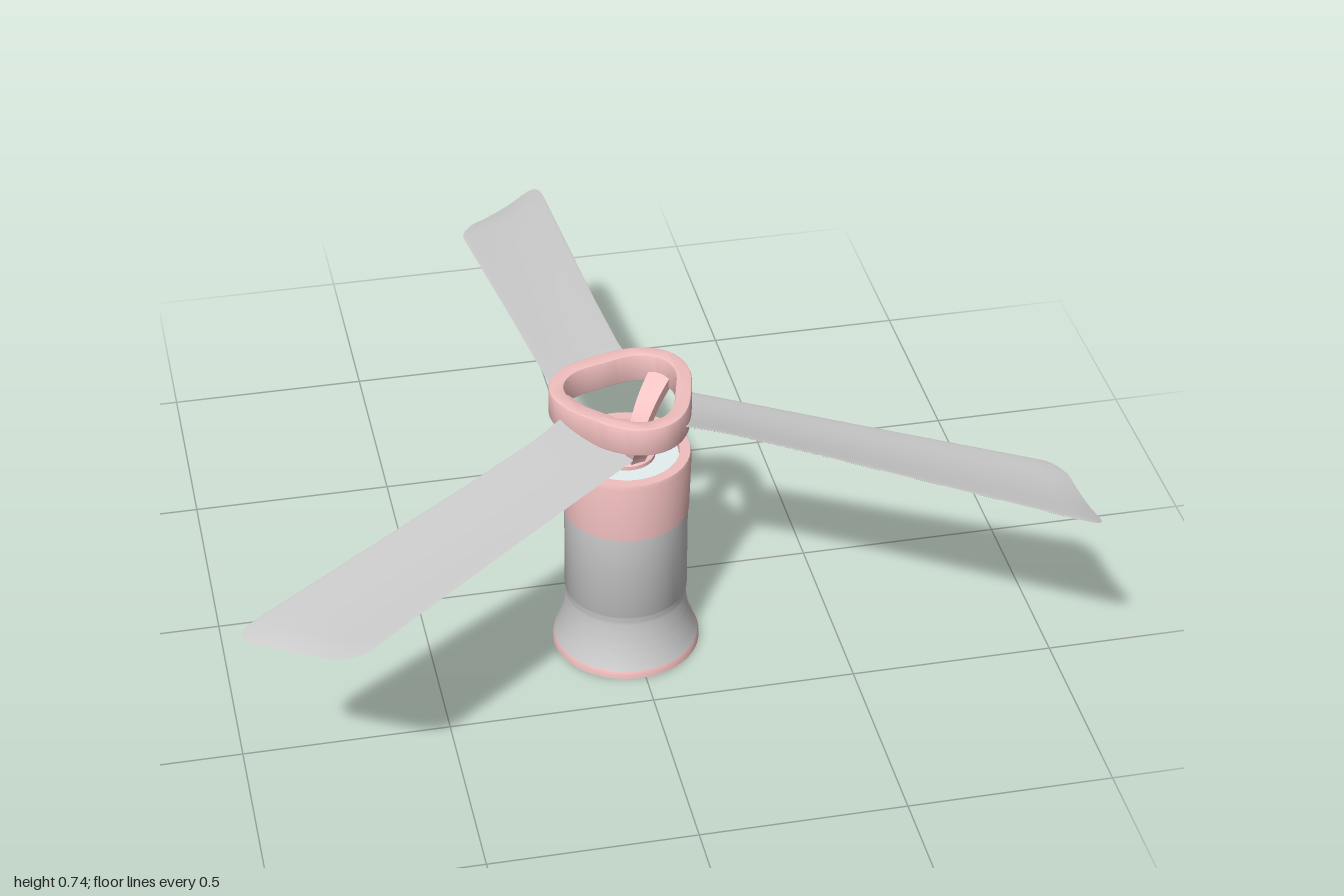
import * as THREE from 'three';
import { toCreasedNormals } from 'three/addons/utils/BufferGeometryUtils.js';

const { lerp } = THREE.MathUtils;
const grey = new THREE.MeshStandardMaterial({ color: 0xcccccc });
const pink = new THREE.MeshStandardMaterial({ color: 0xf2bfbf });
const pale = new THREE.MeshStandardMaterial({ color: 0xe6f0f0 });
const bladeGrey = new THREE.MeshStandardMaterial({ color: 0xcccccc, side: THREE.DoubleSide });

function add(parent, name, geometry, material) {
  const mesh = new THREE.Mesh(geometry, material);
  mesh.name = name;
  parent.add(mesh);
  return mesh;
}

const lathe = (points) => toCreasedNormals(
  new THREE.LatheGeometry(points.map(([r, y]) => new THREE.Vector2(r, y)), 64), 0.6);

// Radius of the flared foot at a given height
const flare = (y) => 0.147 + 0.03 * Math.pow(Math.max(0, (0.16 - y) / 0.14), 2);

// Piecewise linear lookup in [x, y] pairs
function lookup(table, x) {
  let i = 0;
  while (i < table.length - 2 && x > table[i + 1][0]) i++;
  const [x0, y0] = table[i], [x1, y1] = table[i + 1];
  return lerp(y0, y1, (x - x0) / (x1 - x0));
}

// Rounded three-lobed outline of the rotor ring
function lobes(radius, swing) {
  const points = [];
  for (let i = 0; i < 90; i++) {
    const a = i / 90 * Math.PI * 2;
    const r = radius + swing * Math.cos(3 * (a - Math.PI * 75 / 180));
    points.push(new THREE.Vector2(r * Math.cos(a), r * Math.sin(a)));
  }
  return points;
}

function ringGeometry() {
  const shape = new THREE.Shape(lobes(0.166, 0.015));
  shape.holes.push(new THREE.Path(lobes(0.136, 0.016)));
  const g = new THREE.ExtrudeGeometry(shape, {
    depth: 0.066, bevelThickness: 0.004, bevelSize: 0.004, bevelSegments: 2,
  });
  g.rotateX(Math.PI / 2).translate(0, 0.736, 0);
  return toCreasedNormals(g, 0.6);
}

// Arm sweeping up and out from the hub, wider towards the ring
function strutGeometry() {
  const s = new THREE.Shape();
  s.moveTo(0.03, 0.55);
  s.lineTo(0.06, 0.55);
  s.quadraticCurveTo(0.085, 0.63, 0.165, 0.67);
  s.lineTo(0.155, 0.7);
  s.quadraticCurveTo(0.06, 0.65, 0.03, 0.55);
  const g = new THREE.ExtrudeGeometry(s, { depth: 1, bevelEnabled: false, curveSegments: 12 });
  const p = g.attributes.position;
  for (let i = 0; i < p.count; i++) {
    const width = lerp(0.035, 0.06, (p.getY(i) - 0.55) / 0.15);
    p.setZ(i, (p.getZ(i) - 0.5) * width);
  }
  return toCreasedNormals(g, 0.6);
}

// Pitched, cambered blade running towards -z with a slanted, rounded tip
function bladeGeometry() {
  const rows = 24, cols = 24;
  const leftX = [[0.1, -0.145], [0.5, -0.182], [0.98, -0.23], [1.03, -0.225], [1.15, -0.19]];
  const rightX = [[0.13, 0.058], [0.25, 0.036], [0.5, 0.024], [1.15, 0.005]];
  const tip = [[0, 0.97], [0.03, 1.0], [0.12, 1.035], [0.45, 1.09], [0.75, 1.138],
    [0.86, 1.15], [0.94, 1.148], [0.98, 1.135], [1, 1.1]];
  const positions = [], index = [];
  for (const skin of [1, -1]) {
    const start = positions.length / 3;
    for (let i = 0; i <= rows; i++) {
      for (let j = 0; j <= cols; j++) {
        const s = i / rows;
        const v = 0.5 - 0.5 * Math.cos(Math.PI * j / cols);
        const d = lerp(lerp(0.108, 0.152, v), lookup(tip, v), s);
        const x = lerp(lookup(leftX, d), lookup(rightX, d), v);
        const t = (d - 0.13) / 1.0;
        const arch = Math.sin(Math.PI * v);
        const thick = i < rows ? 0.005 * Math.sqrt(Math.max(0, arch)) : 0;
        const y = lerp(lerp(0.655, 0.578, t), lerp(0.7, 0.61, t), v) - 0.01 * arch + skin * thick;
        positions.push(x, y, -d);
        if (i < rows && j < cols) {
          const a = start + i * (cols + 1) + j, b = a + 1, c = a + cols + 1, e = c + 1;
          if (skin > 0) index.push(a, b, c, b, e, c);
          else index.push(a, c, b, b, c, e);
        }
      }
    }
  }
  const g = new THREE.BufferGeometry();
  g.setAttribute('position', new THREE.Float32BufferAttribute(positions, 3));
  g.setIndex(index);
  g.computeVertexNormals();
  return g;
}

// Round-topped patch wrapped on the flare, on the +x side
function tabGeometry() {
  const g = new THREE.PlaneGeometry(2, 1, 10, 20);
  const p = g.attributes.position;
  for (let i = 0; i < p.count; i++) {
    const y = 0.015 + (p.getY(i) + 0.5) * 0.075;
    const half = 0.03 * Math.sqrt(Math.max(0, 1 - Math.pow(Math.max(0, (y - 0.06) / 0.03), 2)));
    const r = flare(y) + 0.002;
    const a = -p.getX(i) * half / r;
    p.setXYZ(i, r * Math.cos(a), y, r * Math.sin(a));
  }
  g.computeVertexNormals();
  return g;
}

export function createModel() {
  const model = new THREE.Group();
  model.name = 'fan';
  const fan = new THREE.Group();
  fan.name = 'fanAssembly';
  fan.position.set(-0.013, 0, 0.23);
  model.add(fan);

  // Motor housing
  add(fan, 'baseRing', lathe([[0, 0], [0.181, 0], [0.181, 0.008], [0.176, 0.02], [0.15, 0.02]]), pink);
  const body = [];
  for (let i = 0; i <= 14; i++) body.push([flare(0.02 + i * 0.01), 0.02 + i * 0.01]);
  body.push([0.15, 0.165], [0.15, 0.4]);
  add(fan, 'body', lathe(body), grey);
  add(fan, 'tab', tabGeometry(), pink);
  add(fan, 'cap', lathe([[0.15, 0.4], [0.153, 0.4], [0.157, 0.55], [0.154, 0.561],
    [0.128, 0.561], [0.126, 0.545]]), pink);
  add(fan, 'topPlate', lathe([[0.127, 0.548], [0.06, 0.548]]), pale);

  // Hub
  add(fan, 'hub', lathe([[0.07, 0.545], [0.07, 0.558], [0.062, 0.562], [0.055, 0.562],
    [0.053, 0.555], [0, 0.555]]), pink);
  const pin = add(fan, 'shaft', new THREE.CylinderGeometry(0.011, 0.011, 0.02, 20), pale);
  pin.position.y = 0.556;

  // Rotor
  add(fan, 'rotorRing', ringGeometry(), pink);
  const strut = strutGeometry(), blade = bladeGeometry();
  for (let k = 0; k < 3; k++) {
    const turn = k * Math.PI * 2 / 3;
    add(fan, 'strut', strut, pink).rotation.y = -Math.PI * 75 / 180 - turn;
    add(fan, 'blade', blade, bladeGrey).rotation.y = -turn;
  }
  return model;
}
